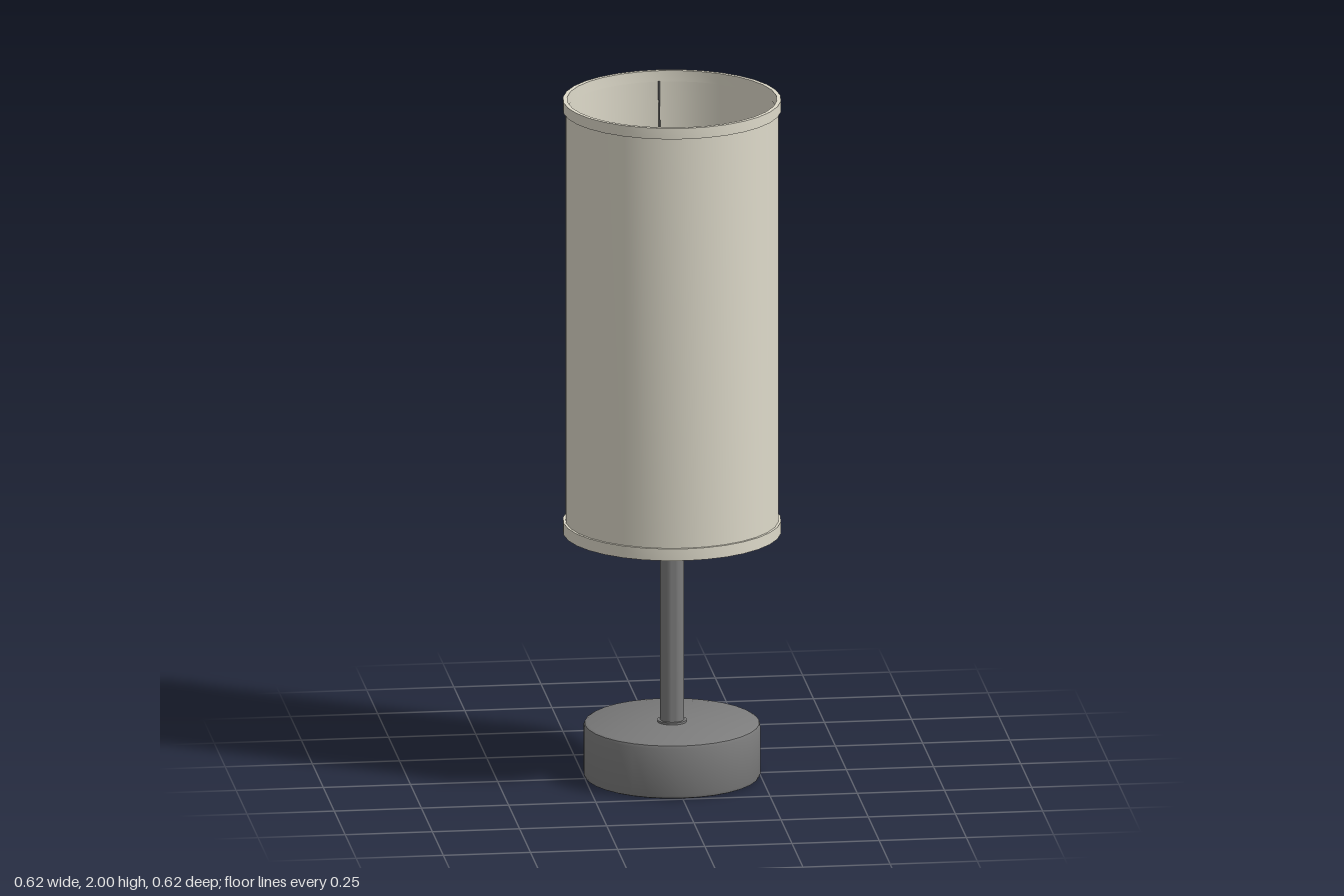
import * as THREE from 'three';
import { toCreasedNormals } from 'three/addons/utils/BufferGeometryUtils.js';

const SIDES = 32;

const mat = (name, color) => {
  const m = new THREE.MeshStandardMaterial({ color });
  m.name = name;
  return m;
};

// Solid of revolution from [radius, y] pairs, outside listed from bottom to top
function turned(name, profile, material) {
  const points = profile.map(([r, y]) => new THREE.Vector2(r, y));
  const geometry = toCreasedNormals(new THREE.LatheGeometry(points, SIDES), 0.6);
  const mesh = new THREE.Mesh(geometry, material);
  mesh.name = name;
  return mesh;
}

// Hollow ring with a rectangular section
const ring = (name, inner, outer, bottom, top, material) => turned(name,
  [[inner, bottom], [outer, bottom], [outer, top], [inner, top], [inner, bottom]], material);

export function createModel() {
  const fabric = mat('cream fabric', 0xdedaca);
  const metal = mat('grey metal', 0x7c7c7c);
  const black = mat('black plastic', 0x161616);

  const lamp = new THREE.Group();
  lamp.name = 'tableLamp';

  // Round weighted base with softened edges, and the pole
  lamp.add(turned('base', [
    [0, 0], [0.242, 0], [0.249, 0.003], [0.252, 0.011],
    [0.252, 0.149], [0.249, 0.157], [0.242, 0.161], [0, 0.161],
  ], metal));
  lamp.add(turned('poleCollar', [[0.042, 0.16], [0.042, 0.167], [0.034, 0.167]], metal));
  lamp.add(turned('pole', [[0.034, 0.15], [0.034, 0.98], [0, 0.98]], metal));

  // Bulb holder: black cup with an open rim
  lamp.add(turned('socket', [
    [0, 0.95], [0.09, 0.95], [0.102, 0.965], [0.102, 1.1],
    [0.084, 1.1], [0.084, 1.0], [0, 1.0],
  ], black));

  // Bulb with a stepped, flat top
  lamp.add(turned('bulb', [
    [0, 1.0], [0.081, 1.0], [0.081, 1.2], [0.077, 1.22],
    [0.07, 1.235], [0.064, 1.24], [0, 1.24],
  ], fabric));

  // Shade: open tube with a trim band at each end
  lamp.add(ring('shade', 0.3, 0.304, 0.722, 1.998, fabric));
  lamp.add(ring('lowerTrim', 0.299, 0.311, 0.722, 0.757, fabric));
  lamp.add(ring('upperTrim', 0.299, 0.311, 1.968, 2.0, fabric));

  // Four wires from the socket to the top of the shade
  const path = new THREE.QuadraticBezierCurve3(
    new THREE.Vector3(0.1, 1.02, 0),
    new THREE.Vector3(0.25, 1.4, 0),
    new THREE.Vector3(0.299, 1.97, 0));
  const wireGeometry = new THREE.TubeGeometry(path, 16, 0.0025, 6);
  for (let i = 0; i < 4; i++) {
    const wire = new THREE.Mesh(wireGeometry, metal);
    wire.name = 'shadeWire' + (i + 1);
    wire.rotation.y = i * Math.PI / 2;
    lamp.add(wire);
  }
  return lamp;
}
